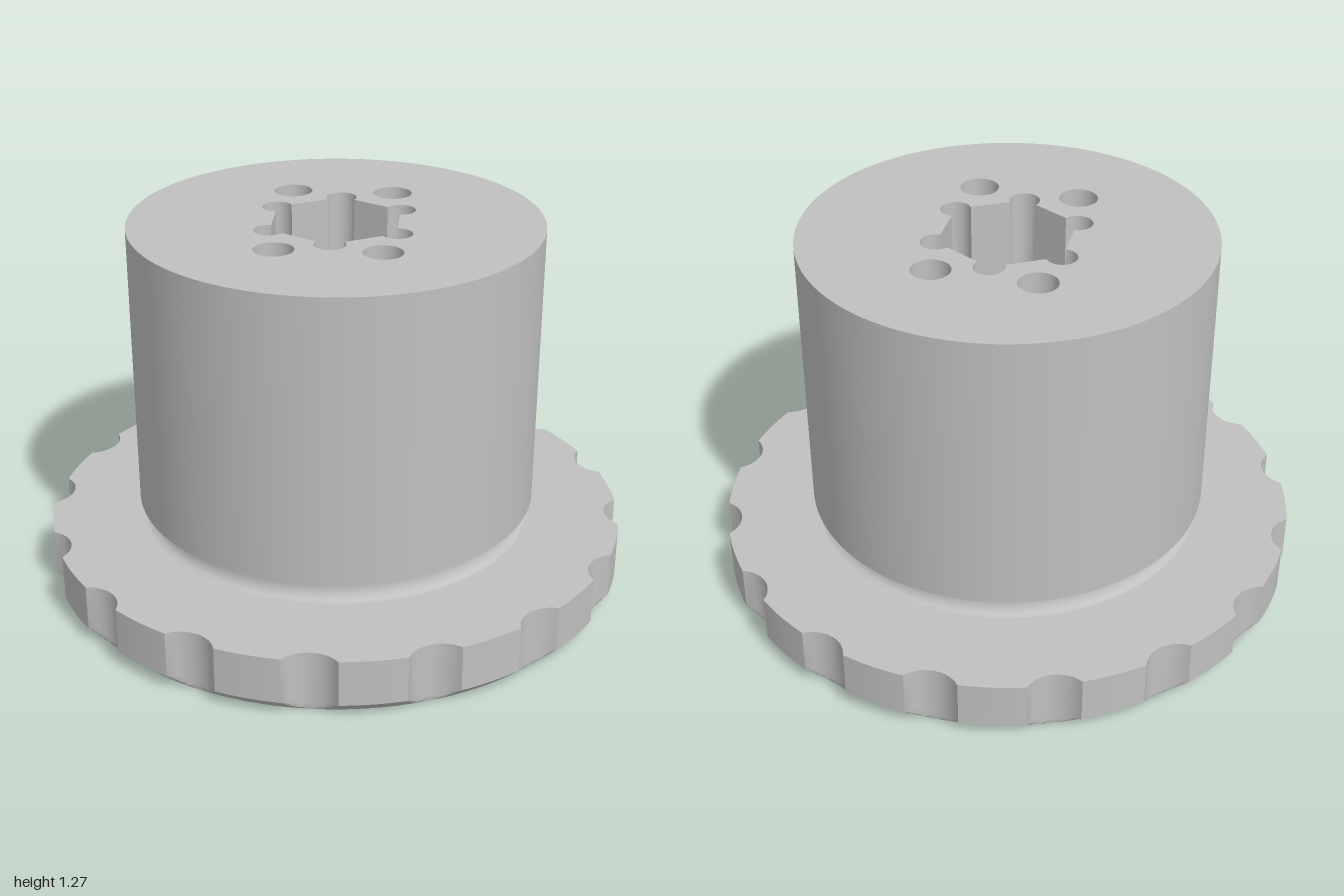
import * as THREE from 'three';
import { toCreasedNormals } from 'three/addons/utils/BufferGeometryUtils.js';

const TOP = 1.27, CEILING = 0.98, FLANGE_TOP = 0.21;
const BODY_R = 0.693, BORE_R = 0.514, NECK_R = 0.675;
const CREASE = 0.6;

const polar = (r, a) => new THREE.Vector2(r * Math.cos(a), r * Math.sin(a));

function circle(r, n, cx = 0, cy = 0) {
  return Array.from({ length: n }, (_, i) => polar(r, (i / n) * Math.PI * 2).add(new THREE.Vector2(cx, cy)));
}

// Wall through closed outlines stacked in height; counter-clockwise outlines face outward
function loft(rings) {
  const n = rings[0].pts.length, position = [], index = [];
  for (const { y, pts } of rings) for (const p of pts) position.push(p.x, y, -p.y);
  for (let k = 0; k < rings.length - 1; k++) {
    for (let i = 0; i < n; i++) {
      const a = k * n + i, b = k * n + (i + 1) % n;
      index.push(a, b, b + n, a, b + n, a + n);
    }
  }
  const g = new THREE.BufferGeometry();
  g.setAttribute('position', new THREE.Float32BufferAttribute(position, 3));
  g.setIndex(index);
  return toCreasedNormals(g, CREASE);
}

// Horizontal face with openings
function plate(outline, holes, y, faceDown = false) {
  const shape = new THREE.Shape(outline);
  shape.holes = holes.map((h) => new THREE.Path(h));
  const g = new THREE.ShapeGeometry(shape);
  g.rotateX(faceDown ? Math.PI / 2 : -Math.PI / 2);
  return g.translate(0, y, 0);
}

function lathe(profile) {
  const pts = profile.map(([x, y]) => new THREE.Vector2(x, y));
  return toCreasedNormals(new THREE.LatheGeometry(pts, 160), CREASE);
}

// Round rim with sixteen scalloped finger notches
function rimOutline() {
  const c = 1.062, r = 0.11, pts = [];
  const edge = Math.acos((1 + c * c - r * r) / (2 * c)), half = Math.PI / 16;
  for (let k = 0; k < 16; k++) {
    const mid = (k * Math.PI) / 8;
    for (let i = 0; i < 16; i++) {
      const t = -edge + (2 * edge * i) / 16;
      const depth = c * Math.cos(t) - Math.sqrt(r * r - (c * Math.sin(t)) ** 2);
      pts.push(polar(Math.min(1, depth), mid + t));
    }
    for (let i = 0; i < 8; i++) pts.push(polar(1, mid + edge + (2 * (half - edge) * i) / 8));
  }
  return pts;
}

// Hexagon with a round relief at each corner
function hexOutline() {
  const pts = [];
  for (let k = 0; k < 6; k++) {
    const a = Math.PI / 6 + (k * Math.PI) / 3, centre = polar(0.24, a);
    for (let i = 0; i <= 20; i++) {
      pts.push(polar(0.052, a + (i / 20 - 0.5) * (Math.PI * 4 / 3)).add(centre));
    }
  }
  return pts;
}

export function createModel() {
  const model = new THREE.Group();
  model.name = 'flangedHub';
  const grey = new THREE.MeshStandardMaterial({ color: 0xc0c0c0 });
  grey.name = 'grey';
  const add = (name, geometry) => {
    const mesh = new THREE.Mesh(geometry, grey);
    mesh.name = name;
    model.add(mesh);
  };

  // Hub wall with the undercut groove above the flange
  add('hubWall', lathe([
    [NECK_R, FLANGE_TOP], [0.66, 0.216], [0.649, 0.23], [0.645, 0.25],
    [0.645, 0.268], [0.65, 0.282], [0.66, 0.29], [BODY_R, 0.29], [BODY_R, TOP],
  ]));

  // Deep bore, recessed ledge, conical lead-in and underside ring
  add('boreAndUnderside', lathe([
    [BORE_R, CEILING], [BORE_R, 0.065], [BODY_R, 0.065], [0.774, 0], [0.95, 0],
  ]));

  // Notched flange, chamfered along its lower edge
  const rim = rimOutline();
  const levels = [0, 0.01, 0.02, 0.03, 0.04, 0.05, FLANGE_TOP];
  add('flangeRim', loft(levels.map((y) => ({
    y, pts: rim.map((p) => p.clone().setLength(Math.min(p.length(), 0.95 + y))),
  }))));
  add('flangeTop', plate(rim, [circle(NECK_R, 160)], FLANGE_TOP));

  // Drive socket and four bolt holes through the top
  const openings = [hexOutline()];
  for (const sx of [-1, 1]) {
    for (const sy of [-1, 1]) openings.push(circle(0.066, 32, sx * 0.173, sy * 0.3));
  }
  openings.forEach((pts, i) => {
    const inward = [...pts].reverse();
    add(i ? 'boltHole' : 'hexSocket', loft([{ y: CEILING, pts: inward }, { y: TOP, pts: inward }]));
  });
  add('hubTop', plate(circle(BODY_R, 160), openings, TOP));
  add('boreCeiling', plate(circle(BORE_R, 160), openings, CEILING, true));

  return model;
}
